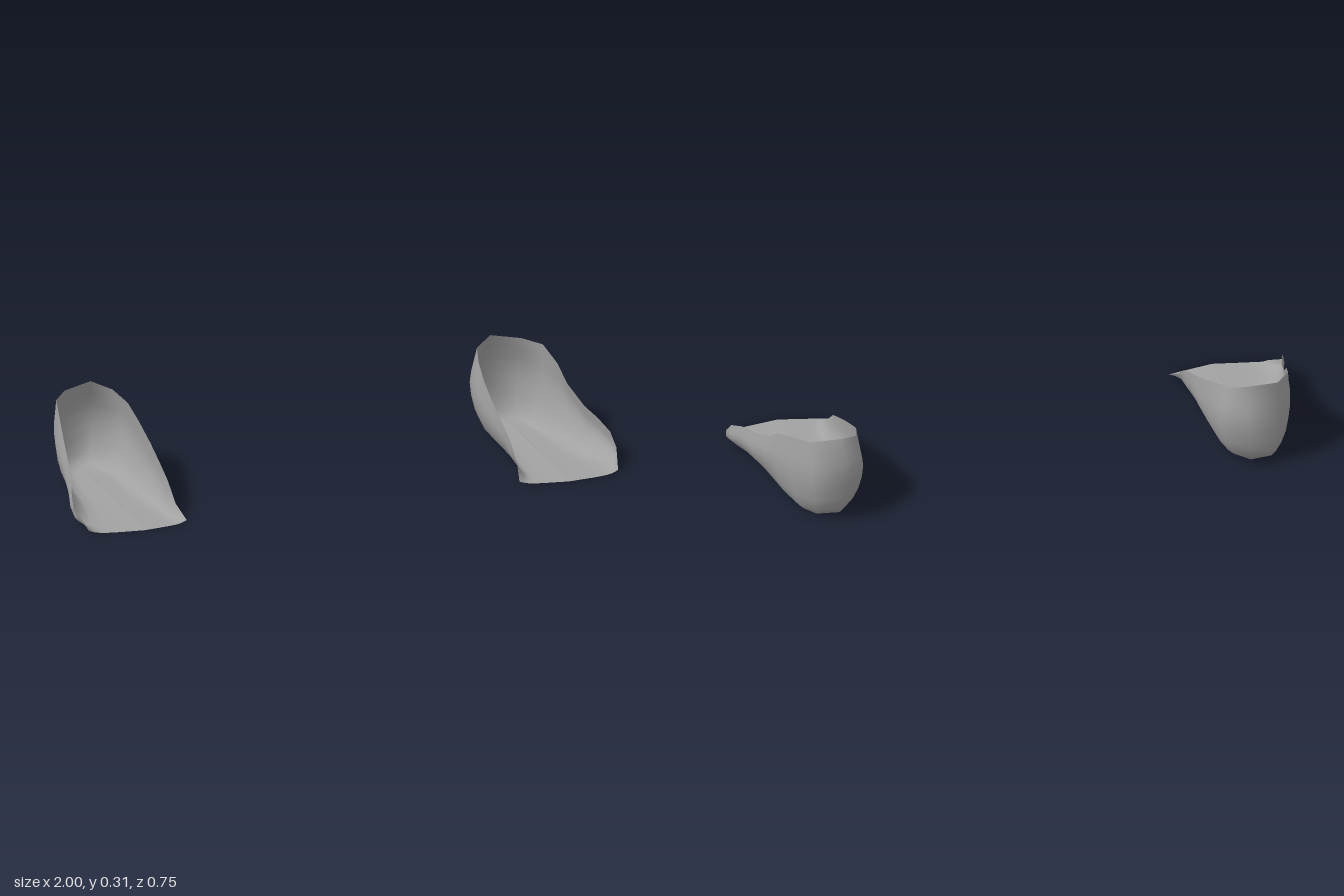
import * as THREE from 'three';

// Stations run from the inner front corner, around the heel, to the outer front corner.
const SOLE = [
  [0.65, 0.001, 0.347], [0.67, 0.002, 0.27], [0.67, 0.002, 0.18], [0.675, 0.002, 0.1], [0.68, 0.002, 0],
  [0.68, 0.002, -0.11], [0.68, 0.003, -0.19], [0.69, 0.006, -0.26], [0.735, 0.02, -0.338], [0.82, 0.015, -0.32],
  [0.855, 0.005, -0.25], [0.875, 0.003, -0.15], [0.885, 0.002, -0.07], [0.90, 0.002, 0.05], [0.915, 0.002, 0.13],
  [0.935, 0.002, 0.2], [0.945, 0.002, 0.25], [0.92, 0.001, 0.35],
];
const WALL = [
  [0.63, 0.003, 0.339], [0.645, 0.015, 0.27], [0.638, 0.04, 0.18], [0.634, 0.07, 0.1], [0.63, 0.08, 0],
  [0.63, 0.1, -0.11], [0.632, 0.13, -0.21], [0.642, 0.15, -0.285], [0.72, 0.165, -0.374], [0.84, 0.16, -0.348],
  [0.895, 0.15, -0.26], [0.925, 0.13, -0.15], [0.937, 0.11, -0.07], [0.957, 0.08, 0.05], [0.975, 0.07, 0.13],
  [0.993, 0.05, 0.2], [0.994, 0.03, 0.25], [0.955, 0.004, 0.34],
];
const RIM = [
  [0.612, 0.006, 0.33], [0.628, 0.045, 0.26], [0.63, 0.105, 0.18], [0.63, 0.14, 0.1], [0.63, 0.18, 0],
  [0.635, 0.225, -0.11], [0.645, 0.265, -0.2], [0.67, 0.287, -0.29], [0.735, 0.31, -0.337], [0.84, 0.296, -0.31],
  [0.895, 0.29, -0.24], [0.915, 0.25, -0.14], [0.925, 0.2, -0.07], [0.948, 0.153, 0.05], [0.968, 0.135, 0.13],
  [0.99, 0.105, 0.2], [0.998, 0.06, 0.245], [0.973, 0.01, 0.335],
];
const ROWS = 10;

// Open shell: each column curves from the sole's middle line, up the wall, to the rim
function shellGeometry() {
  const positions = [];
  const index = [];
  SOLE.forEach((sole, i) => {
    const front = i === 0 || i === SOLE.length - 1;
    const middle = [0.78, 0.002, front ? 0.372 : Math.max(sole[2], -0.24)];
    const column = new THREE.CatmullRomCurve3(
      [middle, sole, WALL[i], RIM[i]].map((p) => new THREE.Vector3(...p)), false, 'centripetal');
    for (let j = 0; j <= ROWS; j++) {
      const p = column.getPoint(j / ROWS);
      positions.push(p.x, Math.max(p.y, 0), p.z);
    }
  });
  for (let i = 0; i < SOLE.length - 1; i++) {
    for (let j = 0; j < ROWS; j++) {
      const a = i * (ROWS + 1) + j;
      const b = a + ROWS + 1;
      index.push(a, a + 1, b, b, a + 1, b + 1);
    }
  }
  const geometry = new THREE.BufferGeometry();
  geometry.setAttribute('position', new THREE.Float32BufferAttribute(positions, 3));
  geometry.setIndex(index);
  geometry.computeVertexNormals();
  return geometry;
}

export function createModel() {
  const model = new THREE.Group();
  model.name = 'heelCupInsoles';
  const grey = new THREE.MeshStandardMaterial({ color: 0xa2a2a2, side: THREE.DoubleSide });
  grey.name = 'grey';

  // Mirrored pair
  const geometry = shellGeometry();
  for (const side of [1, -1]) {
    const insole = new THREE.Mesh(geometry, grey);
    insole.name = side > 0 ? 'leftInsole' : 'rightInsole';
    insole.scale.x = side;
    model.add(insole);
  }
  return model;
}
